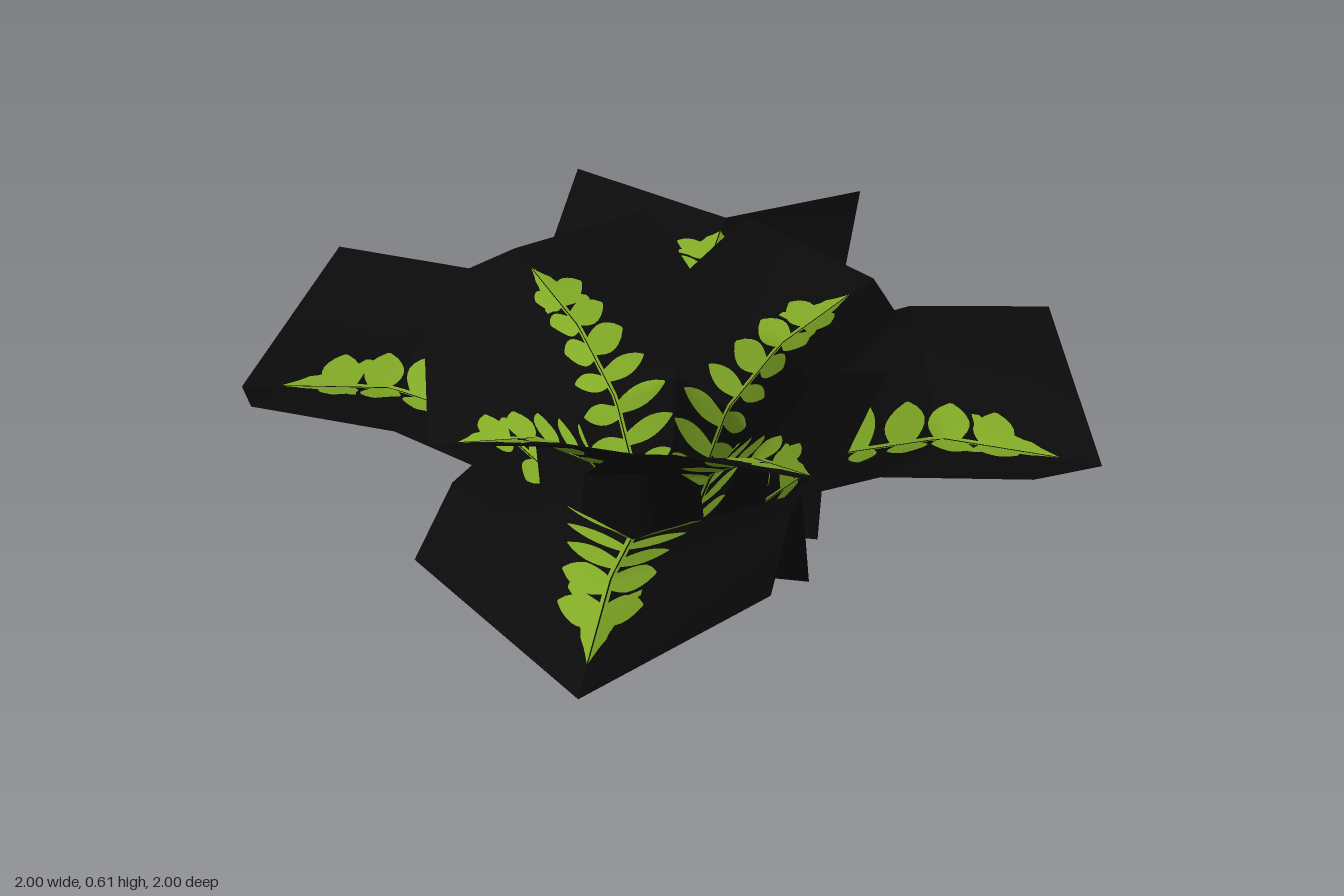
import * as THREE from 'three';
import { mergeGeometries } from 'three/addons/utils/BufferGeometryUtils.js';

const HALF = 0.36; // half width of a frond sheet
// [distance outward, height] of the fold line and of the raised edges, from the base
const fold = [[0, 0], [0.315, 0.30], [0.555, 0.37], [0.915, 0.34]];
const edge = [[0, 0], [0.235, 0.414], [0.445, 0.50], [0.765, 0.53]];
const lengths = fold.slice(1).map((p, i) => Math.hypot(p[0] - fold[i][0], p[1] - fold[i][1]));
const total = lengths.reduce((a, b) => a + b, 0);

// Point on the folded sheet: a runs along the fold, w across it
function onSheet(a, w) {
  let i = 0;
  while (i < lengths.length - 1 && a > lengths[i]) a -= lengths[i++];
  const t = a / lengths[i], s = Math.abs(w) / HALF;
  const mix = (k) => THREE.MathUtils.lerp(
    THREE.MathUtils.lerp(fold[i][k], fold[i + 1][k], t),
    THREE.MathUtils.lerp(edge[i][k], edge[i + 1][k], t), s);
  return new THREE.Vector3(mix(0), mix(1), w);
}

// Point lifted slightly off the sheet
function lifted(a, w, lift) {
  const e = 0.002, side = Math.sign(w) || 1;
  const p = onSheet(a, w);
  const da = onSheet(a + e, w).sub(p);
  const dw = onSheet(a, w + side * e).sub(p).multiplyScalar(side);
  return p.addScaledVector(dw.cross(da).normalize(), lift);
}

// Grid of quads from a function of u and v
function patch(f, nu, nv) {
  const pos = [], index = [];
  for (let i = 0; i <= nu; i++) {
    for (let j = 0; j <= nv; j++) {
      pos.push(...f(i / nu, j / nv).toArray());
      if (i < nu && j < nv) {
        const a = i * (nv + 1) + j, b = a + nv + 1;
        index.push(a, a + 1, b, b, a + 1, b + 1);
      }
    }
  }
  const g = new THREE.BufferGeometry();
  g.setAttribute('position', new THREE.Float32BufferAttribute(pos, 3));
  g.setIndex(index);
  g.computeVertexNormals();
  return g;
}

// Folded sheet, one piece for each flat panel
function sheetGeometry() {
  const parts = [];
  let start = 0;
  for (const len of lengths) {
    const s = start;
    for (const side of [-1, 1]) {
      parts.push(patch((u, v) => onSheet(s + 1e-6 + u * (len - 2e-6), side * v * HALF), 4, 4));
    }
    start += len;
  }
  return mergeGeometries(parts);
}

// Paired leaflets, a narrow stem and a tapering tip, on one face of the sheet
function leafGeometry(lift) {
  const reach = [0.08, 0.125, 0.15, 0.145, 0.125, 0.105, 0.095, 0.085];
  const parts = [];
  for (const side of [-1, 1]) {
    reach.forEach((r, i) => {
      const a0 = 0.05 + i * 0.102 + (side > 0 ? 0.015 : 0);
      const h = i < 5 ? 0.068 : 0.098;
      parts.push(patch((u, v) => {
        const w = 0.004 + u * r;
        const width = h * (0.55 + 0.45 * Math.sin(Math.PI * u)) * Math.sqrt(1 - u ** 4 * 0.98);
        return lifted(a0 + 0.035 + 0.03 * u + (v - 0.5) * width, side * w, lift);
      }, 7, 3));
    });
    parts.push(patch((u, v) => lifted(0.02 + u * 0.85, side * (0.003 + 0.007 * v), lift), 24, 1));
    parts.push(patch((u, v) => {
      const bump = 1 + 0.12 * Math.sin(u * 20);
      return lifted(0.77 + u * 0.18, side * (0.003 + v * 0.075 * (1 - u) * bump), lift);
    }, 10, 2));
  }
  return mergeGeometries(parts);
}

export function createModel() {
  const black = new THREE.MeshStandardMaterial({ color: 0x0b0b0b, side: THREE.DoubleSide });
  black.name = 'sheet black';
  const green = new THREE.MeshStandardMaterial({ color: 0x82ab26, side: THREE.DoubleSide });
  green.name = 'leaf green';

  const sheet = sheetGeometry();
  const faces = [['upperLeaflets', leafGeometry(0.004)], ['lowerLeaflets', leafGeometry(-0.004)]];

  const plant = new THREE.Group();
  plant.name = 'fern';

  // Eight fronds: large spreading ones alternate with small upright ones
  for (let k = 0; k < 8; k++) {
    const upright = k % 2 === 1;
    const frond = new THREE.Group();
    frond.name = upright ? 'innerFrond' : 'outerFrond';
    frond.position.x = upright ? 0.053 : 0.085;
    frond.rotation.z = upright ? THREE.MathUtils.degToRad(22.5) : 0;
    frond.scale.setScalar(upright ? 0.786 : 1);

    const card = new THREE.Mesh(sheet, black);
    card.name = 'frondSheet';
    frond.add(card);
    for (const [name, geometry] of faces) {
      const leaf = new THREE.Mesh(geometry, green);
      leaf.name = name;
      frond.add(leaf);
    }

    const turn = new THREE.Group();
    turn.name = 'frondDirection';
    turn.rotation.y = k * Math.PI / 4;
    turn.add(frond);
    plant.add(turn);
  }
  return plant;
}
